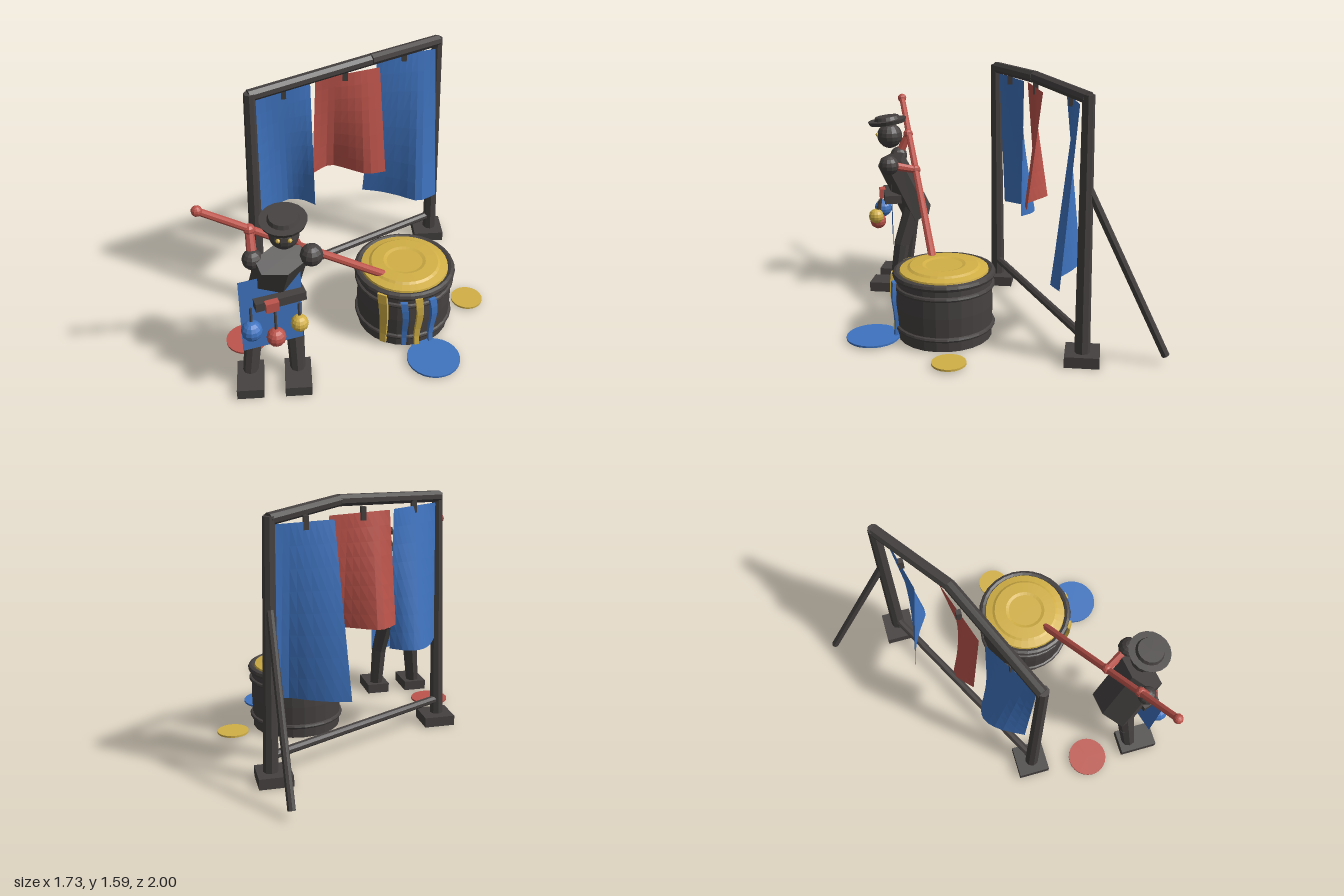
import * as THREE from 'three';

const mat = (name, color) => {
  const m = new THREE.MeshStandardMaterial({ color, flatShading: true, side: THREE.DoubleSide });
  m.name = name;
  return m;
};

export function createModel() {
  const charcoal = mat('charcoal', 0x454140);
  const blue = mat('blue', 0x3f74c0);
  const red = mat('red', 0xbd544b);
  const gold = mat('gold', 0xd2b046);

  const model = new THREE.Group();
  model.name = 'stageSet';
  const group = (name) => {
    const g = new THREE.Group();
    g.name = name;
    model.add(g);
    return g;
  };
  const add = (parent, name, geo, material, x = 0, y = 0, z = 0) => {
    const m = new THREE.Mesh(geo, material);
    m.name = name;
    m.position.set(x, y, z);
    parent.add(m);
    return m;
  };
  const V = (p) => new THREE.Vector3(...p);
  // Rod from a to b, radius ra at a and rb at b
  const rod = (parent, name, a, b, ra, rb, material, sides = 8) => {
    const A = V(a), B = V(b), d = B.clone().sub(A);
    const m = add(parent, name, new THREE.CylinderGeometry(rb, ra, d.length(), sides), material);
    m.position.copy(A).add(B).multiplyScalar(0.5);
    m.quaternion.setFromUnitVectors(new THREE.Vector3(0, 1, 0), d.normalize());
    return m;
  };
  const ball = (parent, name, p, r, material, w = 12, h = 8) =>
    add(parent, name, new THREE.SphereGeometry(r, w, h), material, ...p);
  const box = (parent, name, size, p, material) =>
    add(parent, name, new THREE.BoxGeometry(...size), material, ...p);

  // Banner frame
  const frame = group('bannerFrame');
  const L = [-0.568, 1.512, 0.125], P = [0.15, 1.553, -0.19], R = [0.607, 1.512, -0.51];
  rod(frame, 'leftPost', [-0.59, 0.04, 0.125], [-0.561, 1.53, 0.13], 0.045, 0.034, charcoal);
  rod(frame, 'rightPost', [0.629, 0.04, -0.51], [0.604, 1.53, -0.51], 0.045, 0.034, charcoal);
  rod(frame, 'topBeam', L, P, 0.036, 0.036, charcoal);
  rod(frame, 'topBeam', P, R, 0.036, 0.036, charcoal);
  rod(frame, 'lowerRail', [-0.585, 0.16, 0.12], [0.62, 0.16, -0.51], 0.026, 0.026, charcoal);
  rod(frame, 'backBrace', [0.612, 1.03, -0.52], [0.593, 0.05, -0.98], 0.023, 0.023, charcoal);
  box(frame, 'postBase', [0.2, 0.065, 0.2], [-0.58, 0.033, 0.12], charcoal);
  box(frame, 'postBase', [0.2, 0.065, 0.2], [0.612, 0.033, -0.51], charcoal);
  for (const [x, z] of [[-0.37, 0.015], [0, -0.18], [0.385, -0.41]])
    box(frame, 'bannerHook', [0.03, 0.08, 0.03], [x, 1.47, z], charcoal);

  // Banners: straight top edge blended into a wavy bottom edge
  const banner = (name, material, top, bottom, waveZ, yLow) => {
    const curve = new THREE.CatmullRomCurve3(waveZ.map((z, i) =>
      new THREE.Vector3(THREE.MathUtils.lerp(bottom[0], bottom[1], i / (waveZ.length - 1)), 0, z)));
    const geo = new THREE.PlaneGeometry(1, 1, 10, 8);
    const pos = geo.attributes.position, lerp = THREE.MathUtils.lerp;
    for (let i = 0; i < pos.count; i++) {
      const u = pos.getX(i) + 0.5, v = 0.5 - pos.getY(i);
      const low = curve.getPoint(u);
      pos.setXYZ(i, lerp(lerp(top[0], top[1], u), low.x, v), lerp(1.475, yLow, v),
        lerp(lerp(top[2], top[3], u), low.z, v));
    }
    geo.computeVertexNormals();
    add(frame, name, geo, material);
  };
  banner('leftBanner', blue, [-0.54, -0.212, 0.105, -0.09], [-0.54, -0.2],
    [0.07, -0.08, -0.15, -0.14, -0.075], 0.6);
  banner('middleBanner', red, [-0.18, 0.215, -0.115, -0.24], [-0.21, 0.255],
    [-0.165, -0.257, -0.2, -0.135, -0.155], 0.78);
  banner('rightBanner', blue, [0.215, 0.59, -0.375, -0.465], [0.14, 0.63],
    [-0.475, -0.44, -0.38, -0.312, -0.375], 0.425);

  // Drum
  const drum = group('drum');
  drum.position.set(0.325, 0, 0.335);
  const lathe = (name, pts, material, sides = 24) =>
    add(drum, name, new THREE.LatheGeometry(pts.map((p) => new THREE.Vector2(...p)), sides), material);
  lathe('drumBody', [[0.285, 0.005], [0.292, 0.21], [0.285, 0.41]], charcoal);
  for (const [y, r, t] of [[0.4, 0.288, 0.023], [0.33, 0.29, 0.015], [0.08, 0.29, 0.015]]) {
    const hoop = add(drum, 'drumHoop', new THREE.TorusGeometry(r, t, 8, 28), charcoal, 0, y, 0);
    hoop.rotation.x = Math.PI / 2;
  }
  lathe('drumHead', [[0.27, 0.405], [0.265, 0.425], [0.22, 0.435], [0.205, 0.445],
    [0.13, 0.449], [0.11, 0.443], [0, 0.443]], gold, 32);

  // Ribbons hanging over the drum side
  for (const [x, lean, w, top, material] of [
    [0.167, 0.02, 0.06, 0.41, gold], [0.293, 0.018, 0.042, 0.37, blue],
    [0.375, 0.008, 0.045, 0.4, gold], [0.463, 0.012, 0.045, 0.37, blue]]) {
    const h = top - 0.035, geo = new THREE.BoxGeometry(w, h, 0.02, 1, 6, 1);
    const pos = geo.attributes.position;
    for (let i = 0; i < pos.count; i++) {
      const v = 0.5 - pos.getY(i) / h;
      pos.setX(i, pos.getX(i) * (1 - 0.35 * v) + lean * (v - 0.5) + 0.008 * Math.sin(v * 5));
      pos.setZ(i, pos.getZ(i) + 0.008 * Math.sin(v * 6));
    }
    geo.computeVertexNormals();
    const a = Math.asin((x - 0.325) / 0.31);
    const m = add(drum, 'drumRibbon', geo, material, Math.sin(a) * 0.308, top - h / 2, Math.cos(a) * 0.308);
    m.rotation.y = a;
  }

  // Discs on the floor
  for (const [x, z, r, material] of [
    [-0.665, 0.5, 0.125, red], [0.76, 0.235, 0.1, gold], [0.46, 0.75, 0.16, blue]])
    add(model, 'floorDisc', new THREE.CylinderGeometry(r, r, 0.012, 24), material, x, 0.018, z);

  // Performer: legs, feet and a turned, leaning torso
  const body = group('performer');
  for (const [hip, hipZ, knee, foot] of [[-0.56, 0.72, -0.6, -0.635], [-0.4, 0.68, -0.365, -0.357]]) {
    rod(body, 'thigh', [knee, 0.32, 0.76], [hip, 0.58, hipZ], 0.052, 0.06, charcoal);
    rod(body, 'shin', [foot, 0.05, 0.8], [knee, 0.33, 0.757], 0.045, 0.052, charcoal);
    box(body, 'foot', [0.155, 0.065, 0.24], [foot, 0.033, 0.85], charcoal);
  }
  const torso = rod(body, 'torso', [-0.495, 0.515, 0.67], [-0.422, 0.9, 0.83], 0.162, 0.155, charcoal, 6);
  torso.rotateY(0.42);
  torso.scale.z = 0.62;

  // Head and tilted hat
  ball(body, 'head', [-0.4, 1.07, 0.825], 0.083, charcoal, 14, 10);
  for (const x of [-0.432, -0.37]) ball(body, 'eye', [x, 1.08, 0.9], 0.013, gold, 8, 6);
  const hat = new THREE.Group();
  hat.name = 'hat';
  hat.position.set(-0.4, 1.165, 0.837);
  hat.rotation.x = 0.13;
  body.add(hat);
  add(hat, 'hatBrim', new THREE.CylinderGeometry(0.128, 0.118, 0.025, 18), charcoal);
  add(hat, 'hatCrown', new THREE.CylinderGeometry(0.078, 0.09, 0.03, 18), charcoal, 0, 0.02, 0);

  // Pole and the arms gripping it
  rod(body, 'pole', [-0.835, 1.25, 0.837], [0.19, 0.42, 0.43], 0.02, 0.025, red);
  ball(body, 'poleKnob', [-0.835, 1.25, 0.837], 0.03, red, 10, 8);
  for (const [shoulder, r, hand] of [
    [[-0.575, 0.897, 0.81], 0.058, [-0.583, 1.045, 0.742]],
    [[-0.258, 0.9, 0.8], 0.064, [-0.34, 0.855, 0.642]]]) {
    ball(body, 'shoulder', shoulder, r, charcoal);
    rod(body, 'arm', shoulder, hand, 0.03, 0.024, red);
    ball(body, 'hand', hand, 0.034, red, 8, 6);
  }

  // Apron, belt and hanging balls
  const apron = add(body, 'apron', new THREE.PlaneGeometry(0.352, 0.5), blue, -0.49, 0.56, 0.85);
  apron.rotation.y = 0.27;
  const belt = box(body, 'belt', [0.29, 0.055, 0.11], [-0.447, 0.65, 0.835], charcoal);
  belt.rotation.y = 0.3;
  const buckle = box(body, 'buckle', [0.075, 0.062, 0.04], [-0.483, 0.65, 0.912], red);
  buckle.rotation.y = 0.3;
  for (const [x, y, z, r, material] of [
    [-0.6, 0.505, 0.942, 0.06, blue], [-0.468, 0.452, 0.945, 0.055, red], [-0.337, 0.525, 0.922, 0.05, gold]]) {
    rod(body, 'cord', [x, y, z], [x, 0.64, z - 0.03], 0.009, 0.009, charcoal, 6);
    ball(body, 'hangingBall', [x, y, z], r, material);
  }
  return model;
}
